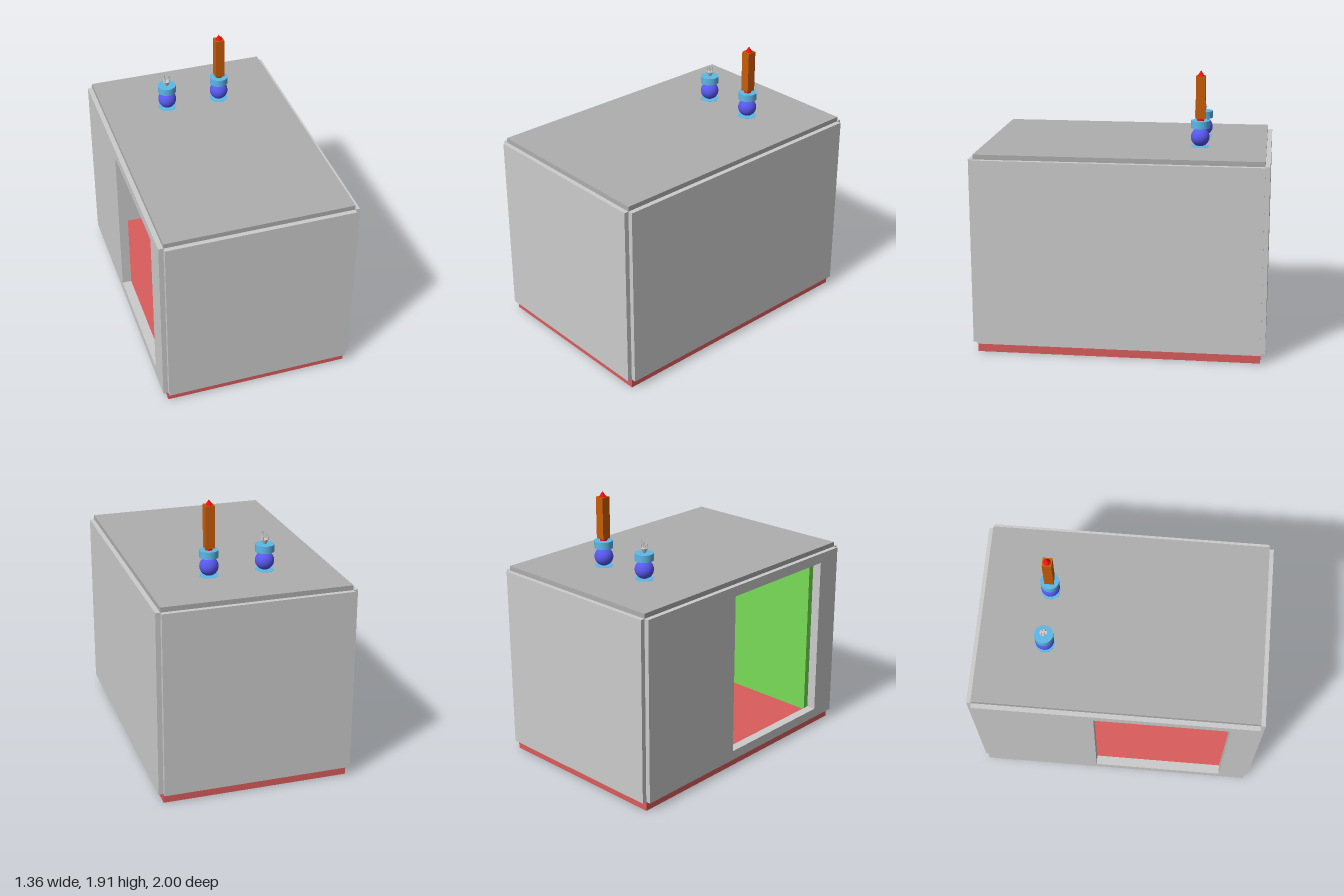
import * as THREE from 'three';

const mat = (color) => new THREE.MeshStandardMaterial({ color });

export function createModel() {
  const model = new THREE.Group();
  const grey = mat(0xcccccc), darkGrey = mat(0xaeaeae), red = mat(0xdb5c5c), green = mat(0x78dc58);
  const cyan = mat(0x5cb8e8), blue = mat(0x5858f0), orange = mat(0xc85c08), scarlet = mat(0xf01010);

  const add = (parent, name, geometry, material, x, y, z) => {
    const mesh = new THREE.Mesh(geometry, material);
    mesh.name = name;
    mesh.position.set(x, y, z);
    parent.add(mesh);
  };
  const box = (w, h, d) => new THREE.BoxGeometry(w, h, d);

  // Room shell: panels of one thickness, meeting at their middle planes
  const T = 0.065, W = 1.29, D = 1.936, wallLow = 0.067, wallTop = 1.355, roofTop = 1.388;
  const H = wallTop - wallLow, midY = (wallTop + wallLow) / 2;
  add(model, 'floor', box(W, wallLow, D), red, 0, wallLow / 2, 0);
  add(model, 'roof', box(W, T, D), darkGrey, 0, roofTop - T / 2, 0);
  add(model, 'frontWall', box(W, H, T), grey, 0, midY, 1 - T / 2);
  add(model, 'backWall', box(W, H, T), grey, 0, midY, -1 + T / 2);
  add(model, 'leftWall', box(T, H, D), grey, 0.678 - T / 2, midY, 0);

  // Right wall with the doorway, drawn in (z, y) and extruded towards -x
  const wall = new THREE.Shape();
  wall.moveTo(-D / 2, wallLow).lineTo(D / 2, wallLow).lineTo(D / 2, wallTop).lineTo(-D / 2, wallTop).closePath();
  const door = new THREE.Path();
  door.moveTo(-0.147, 0.135).lineTo(-0.147, 1.285).lineTo(0.776, 1.285).lineTo(0.776, 0.135).closePath();
  wall.holes.push(door);
  const doorWall = new THREE.ExtrudeGeometry(wall, { depth: T, bevelEnabled: false });
  doorWall.rotateY(-Math.PI / 2);
  add(model, 'rightWall', doorWall, grey, -0.678 + T, 0, 0);

  // Green panel standing inside, before the front wall
  add(model, 'innerPanel', box(1.08, 1.22, 0.1), green, 0, wallLow + 0.61, 0.88);

  // Two roof stands: base disc, ball and collar
  const stand = (name, x) => {
    const group = new THREE.Group();
    group.name = name;
    group.position.set(x, roofTop, -0.515);
    add(group, 'baseDisc', new THREE.CylinderGeometry(0.064, 0.064, 0.05, 32), cyan, 0, -0.024, 0);
    add(group, 'ball', new THREE.SphereGeometry(0.064, 32, 20), blue, 0, 0.065, 0);
    add(group, 'collar', new THREE.CylinderGeometry(0.064, 0.064, 0.05, 32), cyan, 0, 0.154, 0);
    model.add(group);
    return group;
  };

  // Square post with a round core and a pointed tip
  const post = stand('postStand', 0.192);
  add(post, 'core', new THREE.CylinderGeometry(0.025, 0.025, 0.03, 24), scarlet, 0, 0.187, 0);
  add(post, 'post', box(0.064, 0.291, 0.064), orange, 0, 0.339, 0);
  add(post, 'tip', new THREE.ConeGeometry(0.025, 0.038, 24), scarlet, 0, 0.503, 0);

  // Small flared socket with four tapered prongs
  const fork = stand('forkStand', -0.195);
  add(fork, 'socket', new THREE.CylinderGeometry(0.025, 0.01, 0.033, 24), grey, 0, 0.195, 0);
  for (const sx of [-1, 1]) for (const sz of [-1, 1]) {
    add(fork, 'prong', new THREE.ConeGeometry(0.006, 0.06, 10), grey, sx * 0.016, 0.237, sz * 0.01);
  }
  return model;
}
